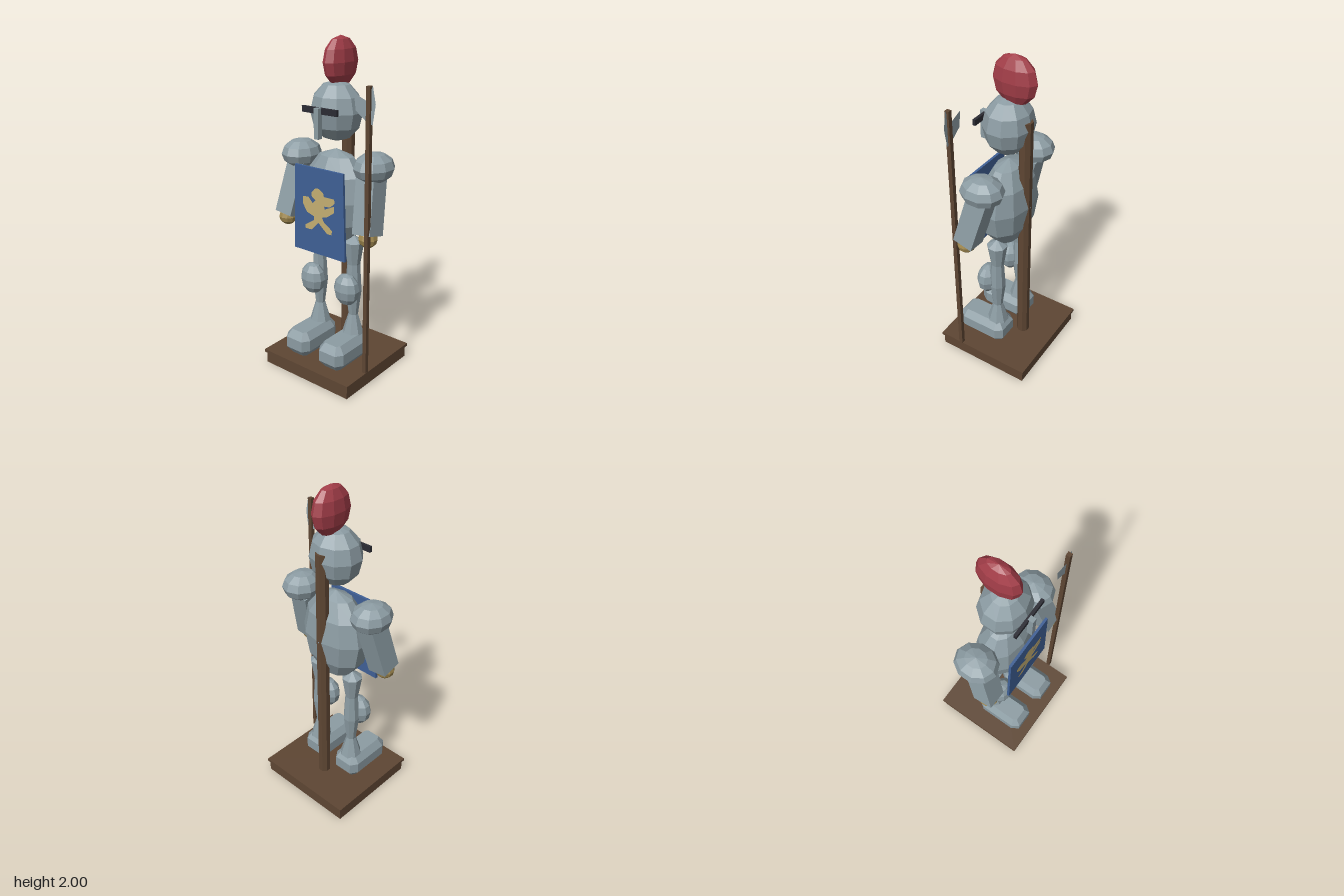
import * as THREE from 'three';

export function createModel() {
  const root = new THREE.Group();
  root.name = 'armourStand';

  const mat = (name, color) => {
    const m = new THREE.MeshStandardMaterial({ color, flatShading: true });
    m.name = name;
    return m;
  };
  const steel = mat('steel', 0x8c9ca3);
  const wood = mat('wood', 0x5e4633);
  const blue = mat('blueCloth', 0x3f6096);
  const gold = mat('goldThread', 0xc4ae72);
  const leather = mat('tanLeather', 0xa28a50);
  const red = mat('redPlume', 0xa23d48);
  const dark = mat('darkSlit', 0x2b2b33);
  const blade = mat('bladeSteel', 0x8f9fa6);
  blade.side = THREE.DoubleSide;

  const add = (name, geo, material, x = 0, y = 0, z = 0) => {
    const mesh = new THREE.Mesh(geo, material);
    mesh.name = name;
    mesh.position.set(x, y, z);
    root.add(mesh);
    return mesh;
  };
  const box = (w, h, d) => new THREE.BoxGeometry(w, h, d);
  // faceted ellipsoid with half sizes; the flat side of the decagon faces x
  const egg = (rx, ry, rz) =>
    new THREE.SphereGeometry(1, 10, 6).rotateY(Math.PI / 2).scale(rx / 0.951, ry, rz);
  const outline = pts => new THREE.Shape(pts.map(p => new THREE.Vector2(p[0], p[1])));

  // Plinth and stand
  add('plinth', box(0.635, 0.075, 0.60), wood, 0, 0.0375, 0);
  add('plinthTop', box(0.655, 0.018, 0.62), wood, 0, 0.082, 0);
  add('standPole', new THREE.CylinderGeometry(0.039, 0.039, 1.55, 8).rotateY(Math.PI / 8),
    wood, 0, 0.865, -0.108);

  // Helmet, visor slit, nose guard and plume
  add('helmet', egg(0.152, 0.172, 0.142), steel, 0, 1.592, 0);
  add('visorSlit', box(0.245, 0.034, 0.018), dark, 0, 1.612, 0.144);
  add('noseGuard', box(0.03, 0.17, 0.033), steel, 0, 1.545, 0.162);
  add('plume', egg(0.062, 0.14, 0.135), red, 0, 1.86, -0.036);

  // Breastplate
  add('breastplate', egg(0.215, 0.285, 0.145), steel, 0, 1.092, 0);

  // Tabard with its charge
  const cloth = outline([[-0.19, 0.775], [0.19, 0.775], [0.174, 1.29], [-0.174, 1.29]]);
  add('tabard', new THREE.ExtrudeGeometry(cloth, { depth: 0.015, bevelEnabled: false }),
    blue, 0, 0, 0.147);
  const beast = [
    [-4.8, 114.5], [-2.6, 117], [0, 117.6], [3.7, 115.5], [4.2, 113.5], [11.5, 113.5],
    [12, 111.2], [8.5, 108.2], [4.2, 107.8], [4.8, 106.2], [11.6, 109.4], [11.6, 105.6],
    [6.5, 102], [2.6, 100.8], [4.2, 98.2], [10, 94.5], [9.5, 91.8], [6.3, 91.8],
    [0, 97], [-5.3, 91.8], [-10, 91.8], [-10, 93.9], [-3.2, 98.2], [-3.2, 100.3],
    [-8.5, 101.9], [-11.6, 106.6], [-11.6, 110.9], [-7.4, 111.4], [-4.2, 108.2],
    [-2.1, 110.3], [-4.8, 112]
  ].map(p => [p[0] / 100, p[1] / 100]);
  add('beastCharge', new THREE.ShapeGeometry(outline(beast)), gold, 0, 0, 0.1645);

  // Foot outline: rectangle with cut corners, bevelled all round
  const fw = 0.057, fl = 0.13, cx = 0.015, cz = 0.022;
  const sole = outline([
    [-fw + cx, -fl], [fw - cx, -fl], [fw, -fl + cz], [fw, fl - cz],
    [fw - cx, fl], [-fw + cx, fl], [-fw, fl - cz], [-fw, -fl + cz]
  ]);
  const footGeo = new THREE.ExtrudeGeometry(sole, {
    depth: 0.07, bevelSize: 0.033, bevelThickness: 0.045, bevelSegments: 1
  }).rotateX(-Math.PI / 2);

  // Leg profile: thigh, knee hollow, calf, ankle and flared cuff
  const legGeo = new THREE.LatheGeometry([
    [0, 0.22], [0.068, 0.24], [0.03, 0.37], [0.05, 0.53], [0.04, 0.70], [0.062, 0.84], [0, 0.88]
  ].map(p => new THREE.Vector2(p[0], p[1])), 8).rotateY(Math.PI / 8);

  // Limbs, mirrored
  for (const [s, side] of [[1, 'left'], [-1, 'right']]) {
    add(side + 'Pauldron', egg(0.107, 0.087, 0.13), steel, s * 0.265, 1.31, 0);

    // arm runs from the shoulder forward and outward to the hand
    const top = new THREE.Vector3(s * 0.253, 1.27, 0.005);
    const end = new THREE.Vector3(s * 0.292, 0.945, 0.09);
    const dir = top.clone().sub(end);
    const arm = add(side + 'Arm', box(0.122, dir.length(), 0.125), steel);
    arm.position.copy(top).add(end).multiplyScalar(0.5);
    arm.quaternion.setFromUnitVectors(new THREE.Vector3(0, 1, 0), dir.normalize());

    add(side + 'Hand', egg(0.053, 0.052, 0.056), leather, s * 0.3, 0.928, 0.094);
    add(side + 'Leg', legGeo, steel, s * 0.13, 0, 0);
    add(side + 'Knee', egg(0.08, 0.1, 0.064), steel, s * 0.13, 0.555, 0.067);
    add(side + 'Foot', footGeo, steel, s * 0.13, 0.136, 0.089);
  }

  // Halberd
  add('halberdShaft', box(0.025, 1.67, 0.025), wood, 0.332, 0.945, 0.146);
  const axe = outline([
    [0.233, 1.735], [0.32, 1.70], [0.352, 1.785], [0.372, 1.69],
    [0.355, 1.58], [0.32, 1.59], [0.245, 1.645]
  ]);
  add('halberdBlade', new THREE.ShapeGeometry(axe), blade, 0, 0, 0.146);

  return root;
}
